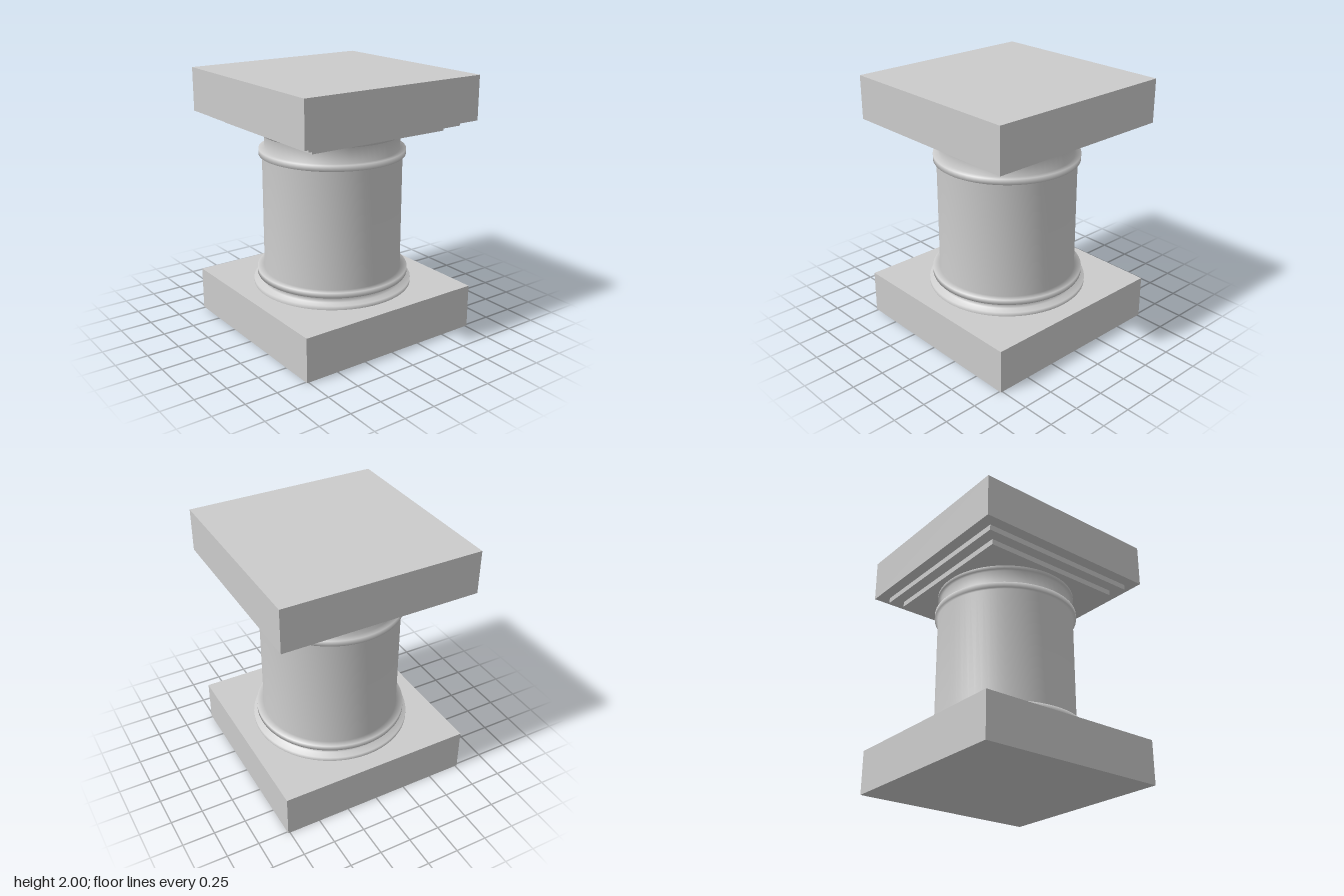
import * as THREE from 'three';

export function createModel() {
  const model = new THREE.Group();
  model.name = 'pedestalColumn';
  const material = new THREE.MeshStandardMaterial({ color: 0xcccccc });

  const add = (name, geometry) => {
    const mesh = new THREE.Mesh(geometry, material);
    mesh.name = name;
    model.add(mesh);
    return mesh;
  };

  // Square slabs: half width, bottom, top
  const slabs = [
    ['plinth', 0.765, 0, 0.343],
    ['lowerCapitalStep', 0.592, 1.577, 1.62],
    ['upperCapitalStep', 0.677, 1.62, 1.663],
    ['abacus', 0.765, 1.663, 2],
  ];
  for (const [name, half, y0, y1] of slabs) {
    add(name, new THREE.BoxGeometry(2 * half, y1 - y0, 2 * half)).position.y = (y0 + y1) / 2;
  }

  // Round drum sections from bottom to top: radius, bottom, top
  const sections = [
    [0.62, 0.343, 0.375], // foot ring
    [0.558, 0.375, 0.425], // base groove
    [0.592, 0.425, 0.466], // base ring
    [0.537, 0.466, 1.38], // shaft
    [0.562, 1.38, 1.424], // neck ring
    [0.517, 1.424, 1.548], // neck
    [0.543, 1.548, 1.577], // collar
  ];
  // One continuous stepped profile, smooth shaded across its steps
  const profile = sections.flatMap(([r, y0, y1]) => [
    new THREE.Vector2(r, y0),
    new THREE.Vector2(r, y1),
  ]);
  add('shaftWithRings', new THREE.LatheGeometry(profile, 64));

  return model;
}
